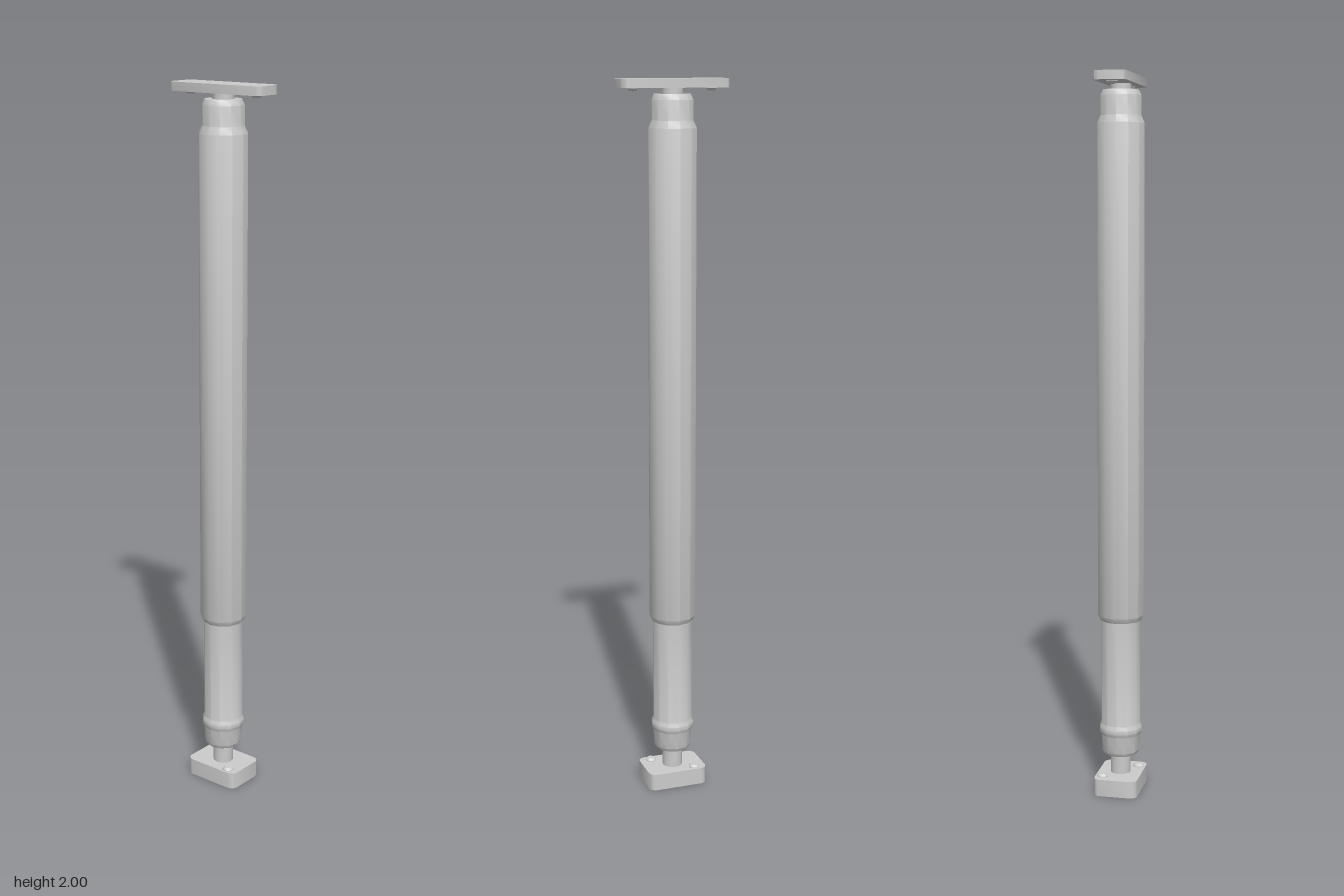
import * as THREE from 'three';
import { toCreasedNormals } from 'three/addons/utils/BufferGeometryUtils.js';

const material = new THREE.MeshStandardMaterial({ color: 0xcccccc });

function addPart(parent, name, geometry, x = 0, y = 0, z = 0) {
  const mesh = new THREE.Mesh(toCreasedNormals(geometry, 0.6), material);
  mesh.name = name;
  mesh.position.set(x, y, z);
  parent.add(mesh);
  return mesh;
}

// Turned part from [radius, height] pairs, bottom to top
function turned(profile, sides = 12) {
  return new THREE.LatheGeometry(profile.map(([r, y]) => new THREE.Vector2(r, y)), sides);
}

// Flat plate with rounded corners, standing on y = 0
function plate(w, d, h, r) {
  const x = w / 2, y = d / 2;
  const s = new THREE.Shape();
  s.moveTo(-x + r, -y);
  s.lineTo(x - r, -y);
  s.absarc(x - r, -y + r, r, -Math.PI / 2, 0);
  s.absarc(x - r, y - r, r, 0, Math.PI / 2);
  s.absarc(-x + r, y - r, r, Math.PI / 2, Math.PI);
  s.absarc(-x + r, -y + r, r, Math.PI, Math.PI * 1.5);
  const g = new THREE.ExtrudeGeometry(s, { depth: h, bevelEnabled: false, curveSegments: 2 });
  return g.rotateX(-Math.PI / 2);
}

export function createModel() {
  const model = new THREE.Group();
  model.name = 'telescopicStrut';

  // Mounting plates at both ends
  addPart(model, 'basePlate', plate(0.172, 0.124, 0.048, 0.02));
  addPart(model, 'topPlate', plate(0.302, 0.09, 0.024, 0.02), 0, 1.976, 0);

  // Thin rods joining the tubes to the plates
  addPart(model, 'lowerRod', new THREE.CylinderGeometry(0.029, 0.029, 0.09, 12), 0, 0.085, 0);
  addPart(model, 'upperRod', new THREE.CylinderGeometry(0.029, 0.029, 0.04, 12), 0, 1.96, 0);

  // Inner tube with a raised collar near its foot
  addPart(model, 'innerTube', turned([
    [0, 0.105], [0.048, 0.105], [0.054, 0.115], [0.056, 0.162], [0.061, 0.172],
    [0.061, 0.184], [0.056, 0.195], [0.056, 0.52], [0, 0.52],
  ]));

  // Outer tube, stepping in to a narrower neck at the top
  addPart(model, 'outerTube', turned([
    [0, 0.495], [0.058, 0.495], [0.066, 0.51], [0.066, 1.872], [0.057, 1.892],
    [0.057, 1.945], [0.05, 1.96], [0, 1.96],
  ]));

  // Domed screw heads: diagonal pair on the base, pair under the top plate
  for (const side of [-1, 1]) {
    const dome = turned([[0.016, -0.004], [0.016, 0.002], [0.01, 0.008], [0, 0.009]], 8);
    addPart(model, 'baseScrew', dome, side * 0.052, 0.048, side * 0.042);
    addPart(model, 'topScrew', dome, side * 0.11, 1.976, 0).rotation.x = Math.PI;
  }
  return model;
}
